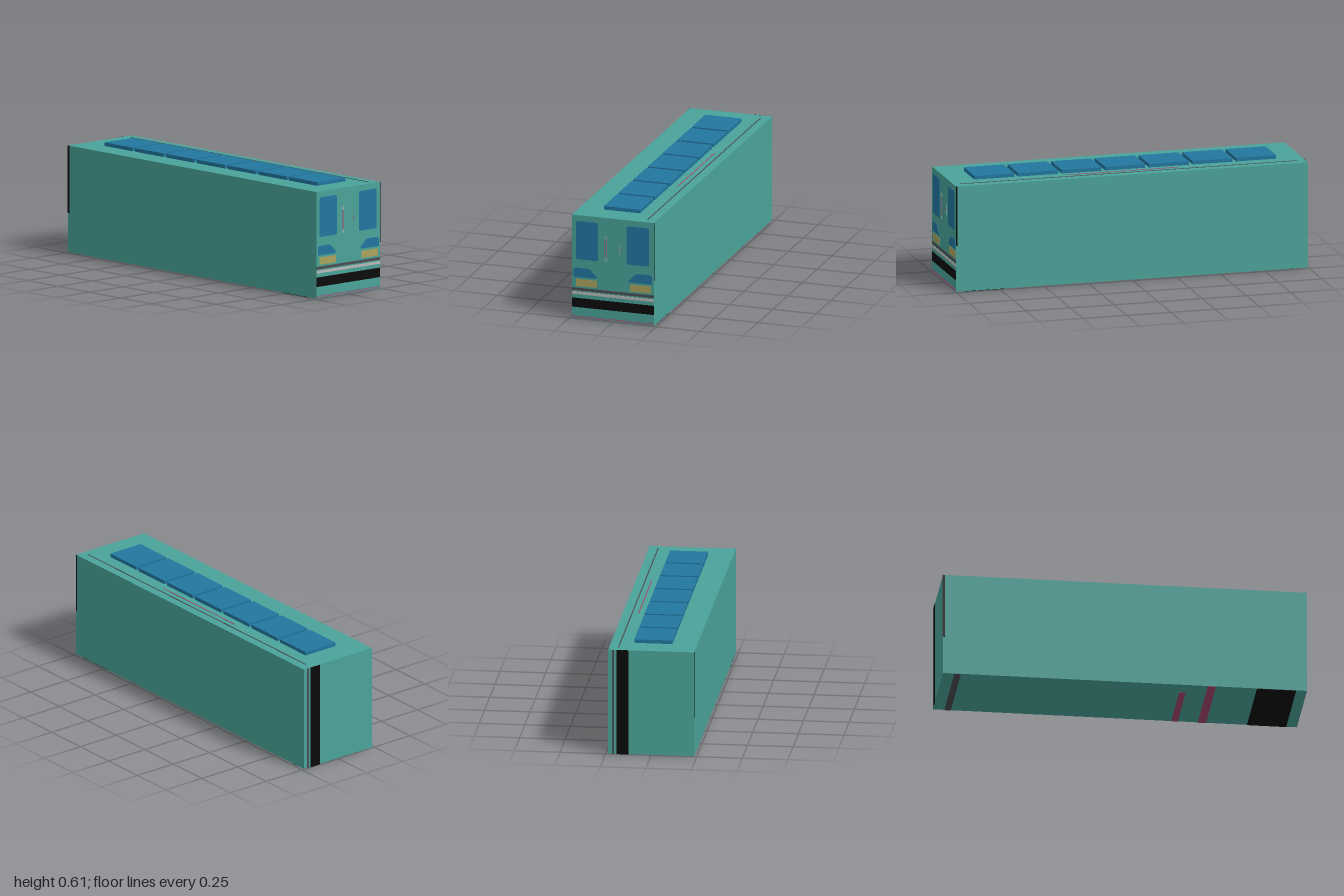
import * as THREE from 'three';

const paint = (name, color) => {
  const m = new THREE.MeshStandardMaterial({ color });
  m.name = name;
  return m;
};

export function createModel() {
  const group = new THREE.Group();
  const teal = paint('teal', 0x4aa399), blue = paint('blue', 0x2277a0);
  const yellow = paint('yellow', 0xaca45e), black = paint('black', 0x0a0a0a);
  const darkGrey = paint('darkGrey', 0x4c4e52), lightGrey = paint('lightGrey', 0xbababa);
  const magenta = paint('magenta', 0xa84870);

  const W = 0.236, H = 0.592, T = 0.002; // half depth, body height, paint thickness

  const add = (name, geometry, material) => {
    const mesh = new THREE.Mesh(geometry, material);
    mesh.name = name;
    group.add(mesh);
    return mesh;
  };
  // Box given by its extents on each axis
  const span = (name, material, [x0, x1], [y0, y1], [z0, z1]) =>
    add(name, new THREE.BoxGeometry(x1 - x0, y1 - y0, z1 - z0), material)
      .position.set((x0 + x1) / 2, (y0 + y1) / 2, (z0 + z1) / 2);
  // Flat outline on the +x end; points are (-z, y)
  const endPlate = (name, material, points) => {
    const shape = new THREE.Shape(points.map(([u, v]) => new THREE.Vector2(u, v)));
    const geo = new THREE.ExtrudeGeometry(shape, { depth: T, bevelEnabled: false });
    geo.rotateY(Math.PI / 2);
    add(name, geo, material).position.x = 1 - T;
  };
  const end = [1 - T, 1], full = [-W, W];

  // Body
  span('body', teal, [-1 + T, 1 - T], [T, H], [-W, W]);

  // Roof panels
  for (let i = 0; i < 7; i++) {
    const x = 0.0025 + (i - 3) * 0.2475;
    span('roofPanel', blue, [x - 0.113, x + 0.113], [H, 0.612], [-0.109, 0.1]);
  }
  // Roof lines
  span('roofLine', darkGrey, [-0.95, 0.96], [H, H + T], [-0.188, -0.182]);
  span('roofLine', magenta, [-0.28, 0.34], [H, H + T], [-0.152, -0.147]);

  // Windows, lamp covers and lamps on the end, in pairs
  for (const s of [-1, 1]) {
    const a = s < 0 ? 0.085 : 0.08, b = s < 0 ? 0.213 : 0.208, c = 0.007;
    const side = (pts) => pts.map(([u, v]) => [s * u, v]);
    endPlate('window', blue, side([
      [a, 0.34 + c], [a + c, 0.34], [b - c, 0.34], [b, 0.34 + c],
      [b, 0.559 - c], [b - c, 0.559], [a + c, 0.559], [a, 0.559 - c]]));
    endPlate('lampCover', blue, side([
      [0.09, 0.246], [0.098, 0.239], [0.225, 0.239], [0.225, 0.284],
      [0.212, 0.291], [0.15, 0.291], [0.131, 0.287]]));
    const l = s < 0 ? 0.092 : 0.098, r = s < 0 ? 0.213 : 0.219;
    endPlate('lamp', yellow, side([[l, 0.187], [r, 0.187], [r, 0.227], [l, 0.227]]));
  }

  // Bands across the end
  for (const [name, m, y0, y1] of [
    ['upperBand', darkGrey, 0.162, 0.177], ['paleBand', lightGrey, 0.14, 0.155],
    ['bumperBand', black, 0.066, 0.118], ['lowerLine', magenta, 0.013, 0.016],
    ['lowerLine', magenta, 0.006, 0.009]]) span(name, m, end, [y0, y1], full);

  // Fine vertical lines between the windows
  for (const z of [0.039, 0.046]) {
    span('fineLine', lightGrey, end, [0.344, 0.363], [z - 0.001, z + 0.001]);
    span('fineLine', magenta, end, [0.363, 0.47], [z - 0.001, z + 0.001]);
    span('fineLine', lightGrey, end, [0.47, 0.488], [z - 0.001, z + 0.001]);
  }
  span('fineLine', lightGrey, end, [0.387, 0.447], [-0.042, -0.04]);
  span('fineLine', magenta, end, [0.41, 0.424], [-0.039, -0.037]);

  // Vertical bands on the opposite end
  span('rearBand', black, [-1, -1 + T], [0, H], [-0.19, -0.125]);
  span('rearLine', darkGrey, [-1, -1 + T], [0, H], [-0.215, -0.203]);

  // Edge strips on the long sides
  span('frontEdgeStrip', black, [-1, -0.986], [0.22, H], [W, W + 0.001]);
  span('backEdgeStrip', black, [0.992, 1], [0.26, H], [-W - 0.001, -W]);

  // Underside bands
  const under = [0, T];
  span('underBand', black, [0.725, 0.94], under, full);
  span('underStripe', magenta, [0.455, 0.5], under, full);
  span('underStripe', magenta, [0.31, 0.345], under, [-W, 0.14]);
  span('underStripe', darkGrey, [-0.935, -0.9], under, full);

  return group;
}
